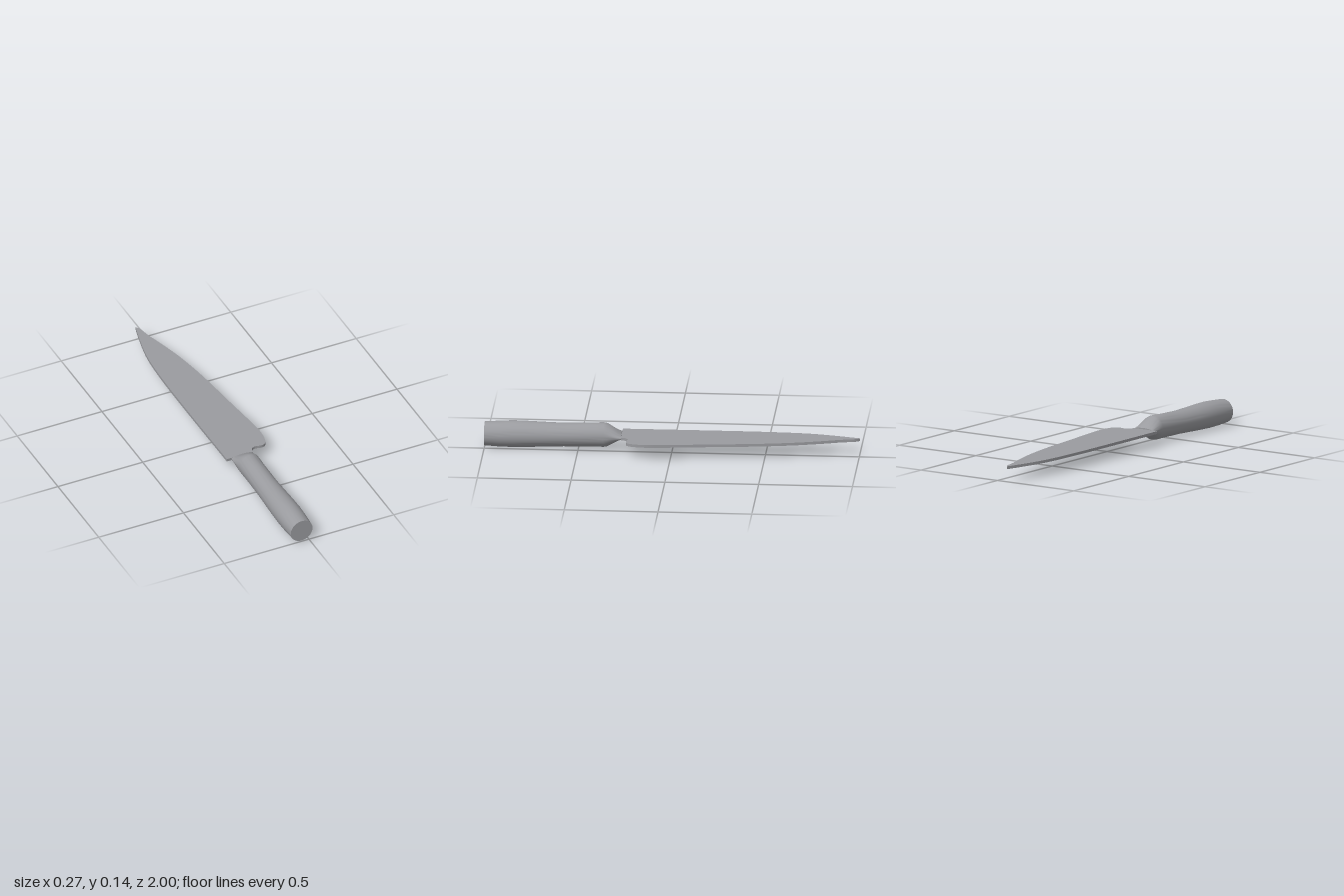
import * as THREE from 'three';
import { toCreasedNormals } from 'three/addons/utils/BufferGeometryUtils.js';

const steel = new THREE.MeshStandardMaterial({ color: 0x9a9b9f });
steel.name = 'steel grey';

// Blade outline in plan, as [x, z], extruded upwards
function makeBlade() {
  const v = ([x, z]) => new THREE.Vector2(x, -z);
  const edge = [
    [0.02, 0.27], [0.026, 0.245], [0.05, 0.232], [0.09, 0.238], [0.118, 0.22],
    [0.133, 0.15], [0.129, 0.05], [0.1, -0.2], [0.072, -0.45], [0.038, -0.65],
    [0, -0.8], [-0.03, -0.9], [-0.045, -0.97], [-0.062, -1],
  ];
  const spine = [
    [-0.062, -1], [-0.09, -0.89], [-0.115, -0.77], [-0.128, -0.65],
    [-0.135, -0.45], [-0.136, -0.2], [-0.134, 0.27],
  ];
  const shape = new THREE.Shape();
  shape.moveTo(0.02, -0.27);
  shape.splineThru(edge.slice(1).map(v));
  shape.splineThru(spine.slice(1).map(v));
  shape.closePath();
  const geo = new THREE.ExtrudeGeometry(shape, { depth: 0.015, bevelEnabled: false, curveSegments: 5 });
  geo.rotateX(-Math.PI / 2).translate(0, 0.069, 0);
  const mesh = new THREE.Mesh(toCreasedNormals(geo, 0.5), steel);
  mesh.name = 'blade';
  return mesh;
}

// Handle sections from front of the blade to the butt: [z, centre y, half width, half height]
function makeHandle() {
  const rows = [
    [0.27, 0.077, 0.064, 0.014], [0.29, 0.077, 0.064, 0.025], [0.345, 0.079, 0.063, 0.062],
    [0.365, 0.079, 0.062, 0.066], [0.45, 0.077, 0.061, 0.064], [0.58, 0.074, 0.062, 0.063],
    [0.7, 0.073, 0.067, 0.067], [0.78, 0.073, 0.07, 0.07], [0.85, 0.0725, 0.071, 0.0715],
    [0.92, 0.071, 0.069, 0.069], [1, 0.0705, 0.064, 0.064],
  ];
  const n = rows.length - 1;
  const geo = new THREE.CylinderGeometry(1, 1, 1, 48, n).rotateX(Math.PI / 2);
  const p = geo.attributes.position;
  for (let i = 0; i < p.count; i++) {
    const [z, cy, rx, ry] = rows[Math.round((p.getZ(i) + 0.5) * n)];
    p.setXYZ(i, -0.043 + p.getX(i) * rx, cy + p.getY(i) * ry, z);
  }
  const mesh = new THREE.Mesh(toCreasedNormals(geo, 0.8), steel);
  mesh.name = 'handle';
  return mesh;
}

export function createModel() {
  const group = new THREE.Group();
  group.name = 'kitchen knife';
  group.add(makeBlade(), makeHandle());
  return group;
}
